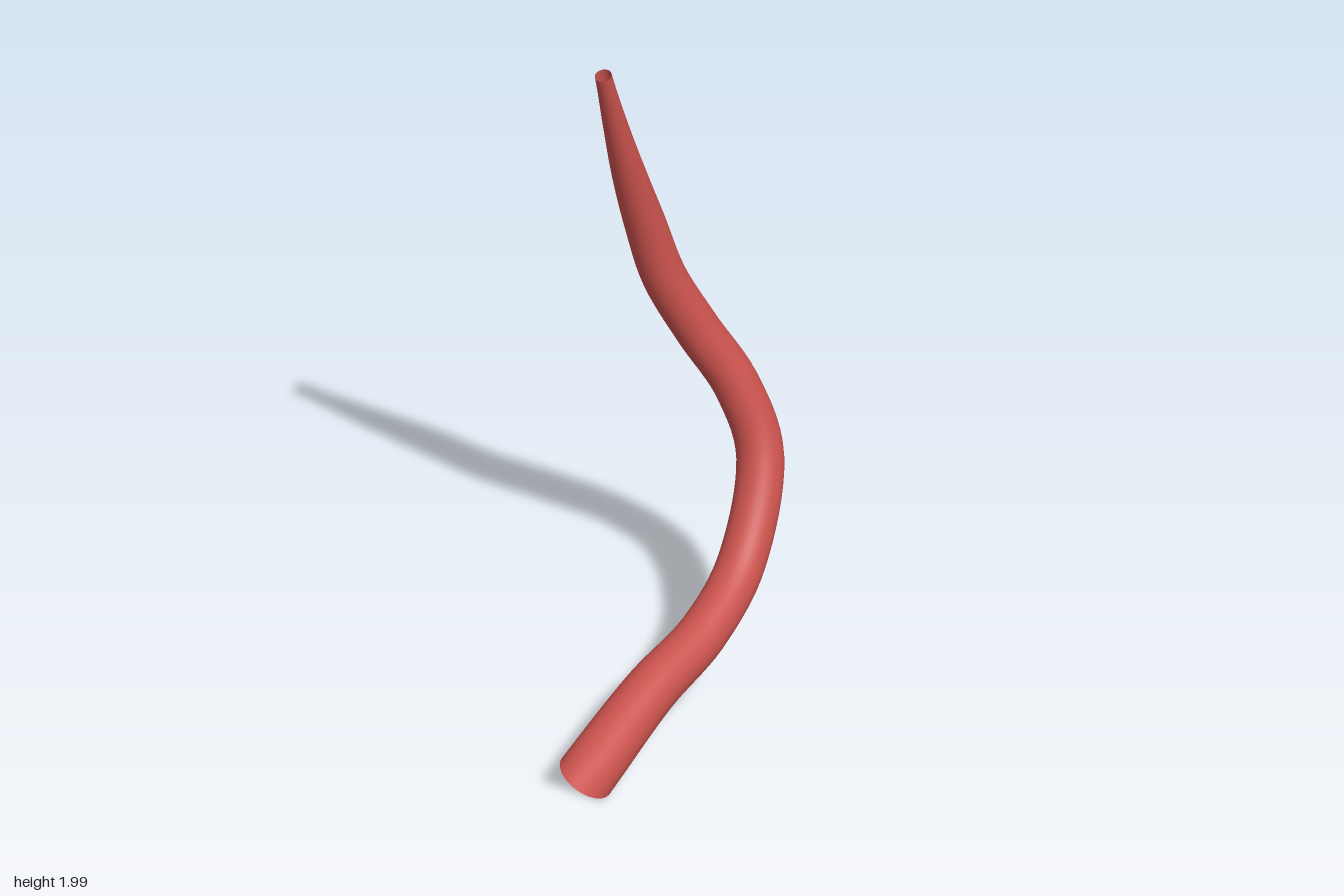
import * as THREE from 'three';

// centre line with the radius at each station: x, y, z, radius
const stations = [
  [-0.345, 0.09, 0.465, 0.087],
  [-0.1, 0.19, 0.2, 0.079],
  [0.1, 0.245, 0, 0.073],
  [0.25, 0.35, -0.19, 0.071],
  [0.34, 0.6, -0.37, 0.07],
  [0.285, 0.8, -0.435, 0.069],
  [0.17, 1.0, -0.455, 0.068],
  [0.07, 1.2, -0.445, 0.066],
  [0.01, 1.4, -0.43, 0.061],
  [-0.045, 1.6, -0.4, 0.05],
  [-0.093, 1.8, -0.363, 0.036],
  [-0.135, 1.993, -0.325, 0.025],
];

export function createModel() {
  const model = new THREE.Group();
  model.name = 'curvedHorn';
  const red = new THREE.MeshStandardMaterial({ color: 0xc9524d, side: THREE.DoubleSide });
  red.name = 'soft red';

  const path = new THREE.CatmullRomCurve3(stations.map(([x, y, z]) => new THREE.Vector3(x, y, z)));
  const radii = new THREE.SplineCurve(stations.map((s, i) => new THREE.Vector2(i, s[3])));

  // open tube of unit radius, each ring then scaled to its own radius
  const rings = 80, sides = 32;
  const tube = new THREE.TubeGeometry(path, rings, 1, sides, false);
  const position = tube.attributes.position, normal = tube.attributes.normal;
  const offset = new THREE.Vector3();
  for (let i = 0; i <= rings; i++) {
    const centre = path.getPointAt(i / rings);
    const radius = radii.getPoint(path.getUtoTmapping(i / rings)).y;
    for (let j = 0; j <= sides; j++) {
      const k = i * (sides + 1) + j;
      offset.fromBufferAttribute(normal, k).multiplyScalar(radius).add(centre);
      position.setXYZ(k, offset.x, offset.y, offset.z);
    }
  }

  const mesh = new THREE.Mesh(tube, red);
  mesh.name = 'taperedTube';
  model.add(mesh);
  return model;
}
